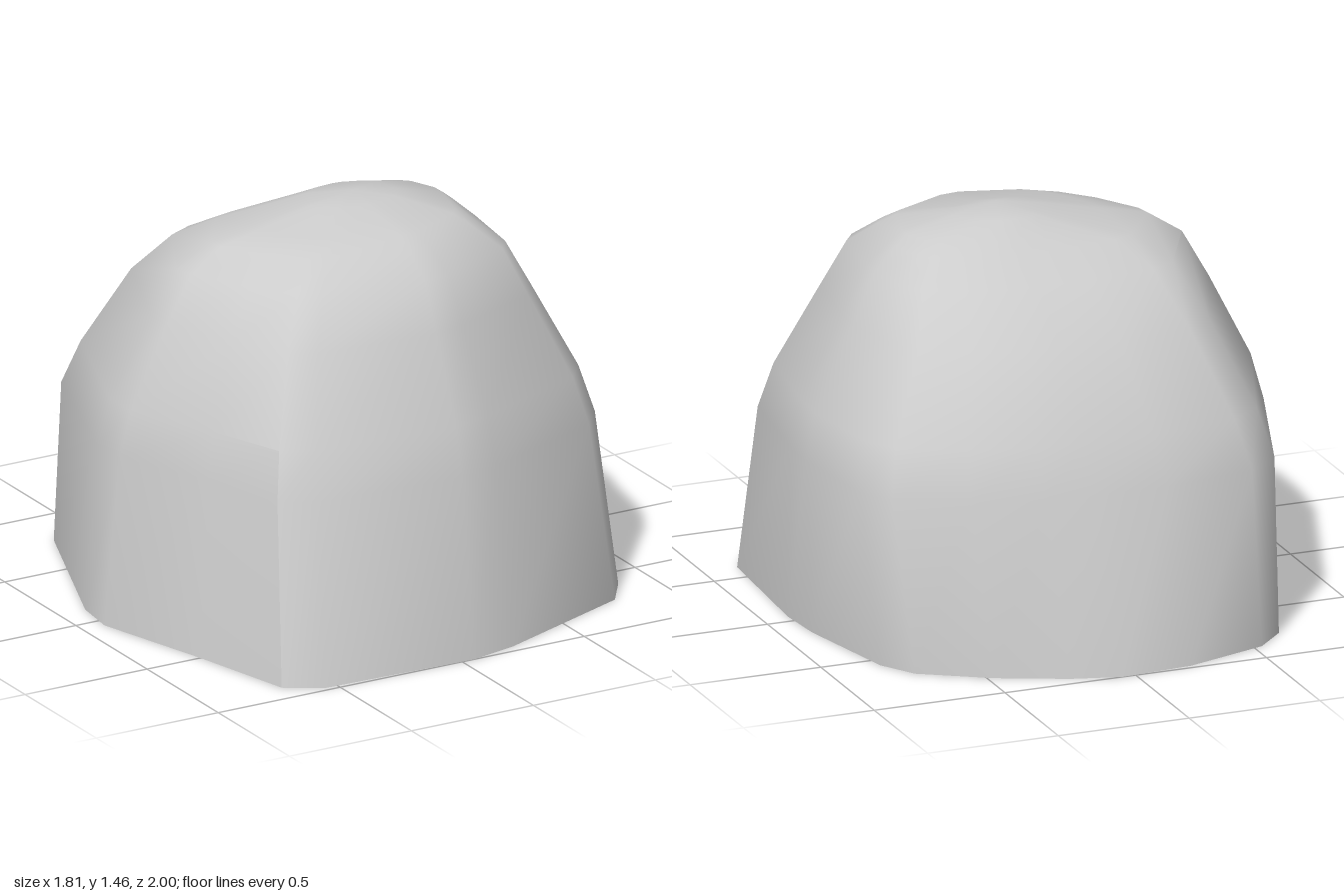
import * as THREE from 'three';
import { toCreasedNormals } from 'three/addons/utils/BufferGeometryUtils.js';

// footprint on the ground, [x, z], counter-clockwise from above
const OUTLINE = [
  [-0.55, 0.98], [0.05, 1.0], [0.23, 0.96], [0.78, 0.74], [0.87, 0.61],
  [0.905, 0.05], [0.89, -0.14], [0.80, -0.56], [0.72, -0.69], [0.48, -0.84],
  [0.23, -0.95], [0.05, -1.0], [-0.22, -0.98], [-0.53, -0.88], [-0.64, -0.77],
  [-0.89, -0.12], [-0.91, 0.05], [-0.78, 0.5], [-0.68, 0.9],
];

// cross-sections: y, xMin, xMax, zMin, zMax, roundness,
// and the fullness of the corners [-x+z, +x+z, +x-z, -x-z]
const RINGS = [
  [0, -0.91, 0.905, -1.0, 1.0, 0, [1, 1, 1, 1]],
  [0.63, -0.86, 0.89, -0.82, 0.85, 0, [0.95, 0.965, 1.085, 1.1]],
  [0.80, -0.815, 0.85, -0.745, 0.79, 0.1, [0.96, 0.965, 1.08, 1.1]],
  [1.10, -0.665, 0.69, -0.57, 0.63, 0.3, [0.99, 1, 1.07, 1.11]],
  [1.27, -0.57, 0.595, -0.37, 0.54, 0.5, [0.95, 1.04, 1.08, 1.13]],
  [1.35, -0.45, 0.505, -0.24, 0.43, 0.7, [0.93, 1.04, 1.08, 1.1]],
  [1.385, -0.28, 0.46, -0.18, 0.375, 0.8, [0.93, 1.02, 1.05, 1.05]],
  [1.43, -0.07, 0.28, -0.10, 0.15, 1, [1, 1, 1, 1]],
];
const HEIGHT = 1.455;

function ringPoints([y, xMin, xMax, zMin, zMax, round, corners]) {
  const t = y / HEIGHT;
  const cx = 0.1 * t, cz = 0.05 * t;
  return OUTLINE.map(([x, z]) => {
    let u = x / 0.908, v = z;
    const r = Math.hypot(u, v);
    const full = corners[v > 0 ? (u < 0 ? 0 : 1) : (u > 0 ? 2 : 3)];
    const diagonal = Math.abs(2 * u * v) / (r * r);
    const k = THREE.MathUtils.lerp(1, 1 / r, round) * (1 + (full - 1) * diagonal);
    u *= k;
    v *= k;
    return [
      cx + u * (u < 0 ? cx - xMin : xMax - cx),
      y,
      cz + v * (v < 0 ? cz - zMin : zMax - cz),
    ];
  });
}

export function createModel() {
  const group = new THREE.Group();
  group.name = 'boulder';
  const n = OUTLINE.length;
  const positions = RINGS.flatMap((r) => ringPoints(r).flat());
  const index = [];

  // sides between neighbouring cross-sections
  for (let r = 0; r < RINGS.length - 1; r++) {
    for (let i = 0; i < n; i++) {
      const j = (i + 1) % n;
      const a = r * n + i, b = r * n + j, c = b + n, d = a + n;
      index.push(a, b, c, a, c, d);
    }
  }

  // crown and flat underside
  const top = RINGS.length * n, bottom = top + 1;
  positions.push(0.11, HEIGHT, 0.05, 0, 0, 0);
  for (let i = 0; i < n; i++) {
    const j = (i + 1) % n;
    index.push(top, top - n + i, top - n + j);
    index.push(bottom, j, i);
  }

  const geometry = new THREE.BufferGeometry();
  geometry.setAttribute('position', new THREE.Float32BufferAttribute(positions, 3));
  geometry.setIndex(index);

  const rock = new THREE.Mesh(
    toCreasedNormals(geometry, 0.7),
    new THREE.MeshStandardMaterial({ color: 0xcccccc }),
  );
  rock.name = 'rock';
  group.add(rock);
  return group;
}
